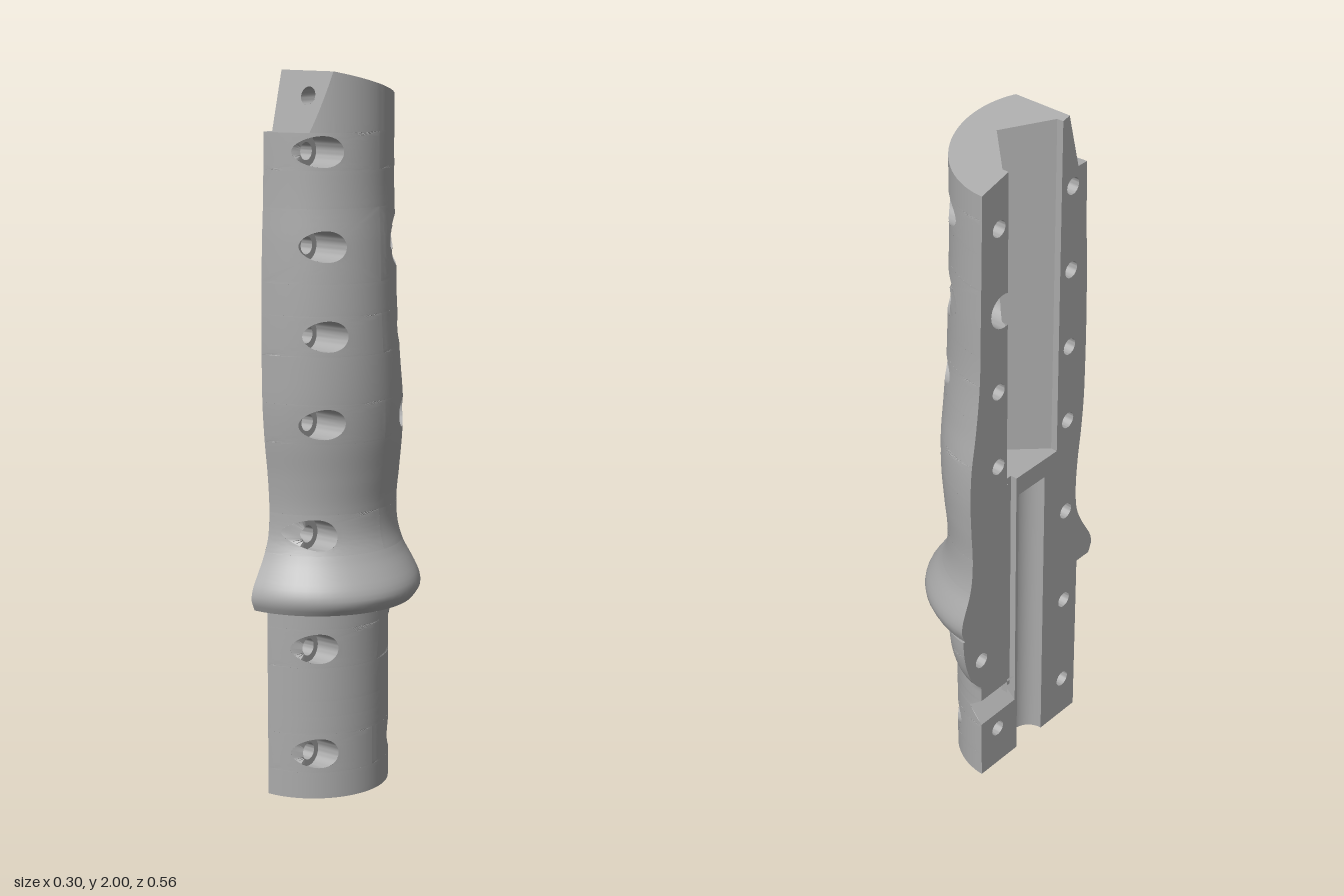
import * as THREE from 'three';
import { toCreasedNormals } from 'three/addons/utils/BufferGeometryUtils.js';

const CUT = -0.15, STEP_Y = 0.54, LEDGE_Y = 1.84, FLOOR_Y = 0.98, DEG = Math.PI;
const V = (x, y, z) => new THREE.Vector3(x, y, z);
const lerp = THREE.MathUtils.lerp;

// Grip profile above the flange: y, front z, back z, side x
const PROFILE = [
  [0.54, 0.268, -0.268, 0.125], [0.57, 0.28, -0.28, 0.147], [0.6, 0.275, -0.279, 0.143],
  [0.64, 0.253, -0.266, 0.118], [0.68, 0.23, -0.25, 0.09], [0.73, 0.21, -0.239, 0.068],
  [0.8, 0.203, -0.235, 0.06], [0.9, 0.208, -0.24, 0.07], [1.0, 0.22, -0.243, 0.083],
  [1.1, 0.228, -0.238, 0.09], [1.2, 0.23, -0.222, 0.092], [1.35, 0.23, -0.205, 0.09],
  [1.55, 0.225, -0.2, 0.085], [1.65, 0.22, -0.198, 0.08], [1.84, 0.215, -0.195, 0.08],
];
const spline = new THREE.CubicInterpolant(PROFILE.map(p => p[0]), PROFILE.flatMap(p => p.slice(1)), 3);

// Screw holes: y, z, bore radius, through radius, seat x
const screw = (y, z) => ({ y, z, R: 0.042, r: 0.024, seat: -0.05 });
const frontHoles = [0.13, 0.43, 0.75, 1.06, 1.3, 1.54, 1.79].map(y => screw(y, 0.16));
const backHoles = [screw(0.13, -0.13), screw(0.43, -0.2), screw(1.06, -0.13), screw(1.3, -0.13),
  { y: 1.54, z: -0.11, R: 0.07, r: 0.05, seat: 0 }, screw(1.79, -0.13)];
const button = backHoles[4];

// Cross-section at height y; a rounded boss widens the back of the shank
function section(y) {
  if (y <= STEP_Y) {
    const k = (STEP_Y - y) / 0.22, w = k < 1 ? Math.sqrt(1 - k * k) : 0;
    return { f: 0.215, b: -0.2, x: 0.055, w, zb: Math.min(-0.2, w ? -0.165 - 0.11 * w : 0) };
  }
  const [f, b, x] = spline.evaluate(Math.min(y, LEDGE_Y));
  return { f, b, x, w: 0, zb: b };
}
const arc = (d, r) => Math.sqrt(Math.max(0, 1 - (d / r) ** 2));
function surf(z, y) {
  const s = section(y);
  const body = (s.x - CUT) * arc(z - (s.f + s.b) / 2, (s.f - s.b) / 2);
  const boss = s.w ? 0.115 * s.w * arc(z + 0.165, 0.11 * s.w) : 0;
  return CUT + Math.max(body, boss);
}
const notch = y => 0.25 * Math.max(0, 1 - Math.abs(y - 0.235) / 0.045);
// Skin point: t runs from 0 at the back edge to PI at the front edge
function pt(t, y) {
  const s = section(y), n = notch(y), a = n + t * (1 - n / DEG);
  const z = (s.f + s.zb) / 2 - (s.f - s.zb) / 2 * Math.cos(a);
  return V(surf(z, y), y, z);
}
function tOf(z, y) {
  const s = section(y);
  return Math.acos(THREE.MathUtils.clamp(((s.f + s.zb) / 2 - z) / ((s.f - s.zb) / 2), -1, 1));
}
const topY = z => z <= 0.14 ? 2 - 0.27 * (0.14 - z) : z < 0.18 ? 2 - (z - 0.14) * 4 : LEDGE_Y;
const channelX = z => z < -0.095 || z > 0.115 ? CUT : -0.02 - Math.abs(z - 0.01) * 0.11 / 0.105;

// Surface through rows of points
function loft(rows) {
  const g = new THREE.BufferGeometry(), n = rows[0].length, idx = [];
  for (let i = 0; i + 1 < rows.length; i++)
    for (let j = 0; j + 1 < n; j++) {
      const a = i * n + j, b = a + n;
      idx.push(a, b, a + 1, b, b + 1, a + 1);
    }
  g.setFromPoints(rows.flat());
  g.setIndex(idx);
  return toCreasedNormals(g, 0.6);
}
// Planar panel, outlined in 2D and mapped into space
function panel(outline, map, holes = []) {
  const s = new THREE.Shape(outline.map(p => new THREE.Vector2(p[0], p[1])));
  for (const [x, y, r] of holes) s.holes.push(new THREE.Path().absarc(x, y, r, 0, 2 * DEG, true));
  const g = new THREE.ShapeGeometry(s, 16), p = g.attributes.position;
  for (let i = 0; i < p.count; i++) p.setXYZ(i, ...map(p.getX(i), p.getY(i)));
  g.computeVertexNormals();
  return g;
}
const range = (n, f) => Array.from({ length: n + 1 }, (_, i) => f(i / n));
const circle = (h, r, x) => range(40, k => {
  const z = h.z + r * Math.cos(k * 2 * DEG), y = h.y + r * Math.sin(k * 2 * DEG);
  return V(x(z, y), y, z);
});
const skinBand = (y0, y1, t0, t1) => loft(range(Math.max(1, Math.ceil((y1 - y0) / 0.015)),
  v => range(28, u => pt(lerp(t0, t1, u), lerp(y0, y1, v)))));
// Rectangular skin patch with a round opening
function holedPatch(h, y0, y1, t0, t1) {
  const tc = tOf(h.z, h.y), edge = [];
  const corners = [[t0, y0], [t1, y0], [t1, y1], [t0, y1], [t0, y0]];
  for (let i = 0; i < 4; i++)
    for (let k = 0; k < 16; k++)
      edge.push([0, 1].map(c => lerp(corners[i][c], corners[i + 1][c], k / 16)));
  edge.push(corners[0]);
  return loft(range(8, v => edge.map(([t, y]) => {
    const a = Math.atan2((y - h.y) / (y1 - y0), (t - tc) / (t1 - t0));
    const cy = h.y + h.R * Math.sin(a), ct = tOf(h.z + h.R * Math.cos(a), cy);
    return pt(lerp(t, ct, v), lerp(y, cy, v));
  })));
}

export function createModel() {
  const grey = new THREE.MeshStandardMaterial({ color: 0xaaaaaa, side: THREE.DoubleSide });
  grey.name = 'plain grey';
  const group = new THREE.Group();
  group.name = 'gripHalf';
  const add = (name, geo) => {
    const m = new THREE.Mesh(geo, grey);
    m.name = name;
    group.add(m);
  };

  // Outer skin: plain bands between rows of holes
  const bands = [[0, 0.075], [0.185, 0.19], [0.19, 0.235], [0.235, 0.28], [0.28, 0.375], [0.485, STEP_Y],
    [STEP_Y + 1e-5, 0.695], [0.805, 1.005], [1.115, 1.245], [1.355, 1.44], [1.64, 1.74]];
  for (const [a, b] of bands) add('outerSkin', skinBand(a, b, 0, DEG));
  for (const f of frontHoles) {
    const h = f.y === 1.54 ? 0.1 : f.y === 1.79 ? 0.05 : 0.055;
    const back = backHoles.find(o => o.y === f.y);
    add('frontHoleSkin', holedPatch(f, f.y - h, f.y + h, DEG / 2, DEG));
    add('backHoleSkin', back ? holedPatch(back, f.y - h, f.y + h, 0, DEG / 2)
      : skinBand(f.y - h, f.y + h, 0, DEG / 2));
  }

  // Stepped bores
  for (const h of [...frontHoles, ...backHoles]) {
    const seat = (z, y) => Math.min(h.seat, surf(z, y));
    add('screwBore', loft([circle(h, h.R, surf), circle(h, h.R, seat), circle(h, h.r, seat), circle(h, h.r, channelX)]));
  }

  // Underside of the flange
  add('flangeUnderside', loft([0, 1e-5].map(e => range(48, u => pt(u * DEG, STEP_Y + e)))));

  // Slanted top end
  const zs = [...range(48, u => pt(u * DEG, LEDGE_Y).z), 0.14, 0.18, -0.0951, -0.0949, 0.01, 0.1149, 0.1151]
    .sort((a, b) => a - b);
  add('topSkin', loft(range(6, v => zs.map(z => V(surf(z, LEDGE_Y), lerp(LEDGE_Y, topY(z), v), z)))));
  const cap = list => loft(list.map(z => [V(channelX(z), topY(z), z), V(surf(z, LEDGE_Y), topY(z), z)]));
  add('topFace', cap(zs.filter(z => z <= 0.14)));
  add('frontLedge', cap(zs.filter(z => z >= 0.18)));

  // Sloping front facet with its small bore
  const facetZ = y => 0.14 + (2 - y) / 4;
  add('frontFacet', panel([[CUT, LEDGE_Y], ...range(8, u => [surf(0.18 - 0.04 * u, LEDGE_Y), LEDGE_Y + 0.16 * u]),
    [CUT, 2]], (x, y) => [x, y, facetZ(y)], [[-0.045, 1.935, 0.024]]));
  const facetBore = depth => range(24, k => {
    const x = -0.045 + 0.024 * Math.cos(k * 2 * DEG), y = 1.935 + 0.024 * Math.sin(k * 2 * DEG);
    return V(x, y, depth ? 0.01 + (-0.02 - x) * 0.105 / 0.11 : facetZ(y));
  });
  add('facetBore', loft([facetBore(false), facetBore(true)]));

  // Flat parting face, in two pieces
  const onCut = (z, y) => [CUT, y, z];
  const a0 = Math.acos(0.015 / button.r);
  const bite = (from, to) => range(20, u => {
    const a = lerp(from, to, u);
    return [button.z + button.r * Math.cos(a), button.y + button.r * Math.sin(a)];
  });
  const ys = range(90, u => lerp(STEP_Y + 1e-5, LEDGE_Y, u));
  const asHole = h => [h.z, h.y, h.r];
  add('partingFace', panel([[0.215, 0], [0.215, STEP_Y], ...ys.map(y => [section(y).f, y]), [0.18, LEDGE_Y],
    [0.14, 2], [0.115, topY(0.115)], [0.115, FLOOR_Y], [-0.055, FLOOR_Y], [-0.055, 0.19], [-0.2, 0.19], [-0.2, 0],
    [-0.045, 0], [-0.045, 0.92], [0.065, 0.92], [0.065, 0]], onCut, [...frontHoles, backHoles[0]].map(asHole)));
  const lowYs = range(30, u => lerp(STEP_Y, 0.28, u));
  add('partingFaceBack', panel([[-0.09, 0.28], [-0.09, FLOOR_Y], [-0.095, FLOOR_Y], ...bite(-a0, a0 - 2 * DEG),
    [-0.095, topY(-0.095)], [-0.195, topY(-0.195)], ...ys.slice().reverse().map(y => [section(y).zb, y]),
    ...lowYs.map(y => [section(y).zb, y])], onCut, backHoles.filter(h => h.y > 0.2 && h !== button).map(asHole)));

  // Upper V-shaped channel
  const onV = (z, y) => [-0.02 - Math.abs(z - 0.01) * 0.11 / 0.105, y, z];
  add('channelBackWall', panel([[-0.095, FLOOR_Y], [0.01, FLOOR_Y], [0.01, topY(0.01)], [-0.095, topY(-0.095)],
    ...bite(a0, -a0)], onV));
  add('channelFrontWall', panel([[0.01, FLOOR_Y], [0.115, FLOOR_Y], [0.115, topY(0.115)], [0.01, topY(0.01)]], onV));
  const d = button.r * Math.sin(a0);
  for (const [z, lo, hi] of [[0.115, FLOOR_Y, topY(0.115)], [-0.095, FLOOR_Y, button.y - d],
    [-0.095, button.y + d, topY(-0.095)]])
    add('channelLip', loft([lo, hi].map(y => [V(CUT, y, z), V(-0.13, y, z)])));
  add('channelFloor', panel([[-0.095, CUT], [-0.095, -0.13], [0.01, -0.02], [0.115, -0.13], [0.115, CUT],
    [-0.055, CUT], [-0.055, -0.13], [-0.09, -0.13], [-0.09, CUT]], (z, x) => [x, FLOOR_Y, z]));

  // Lower round channel and bottom end
  const round = range(20, u => [0.01 + 0.055 * Math.cos(u * DEG), CUT + 0.055 * Math.sin(u * DEG)]);
  add('lowerChannel', loft([0, 0.92].map(y => round.map(([z, x]) => V(x, y, z)))));
  add('lowerChannelEnd', panel(round, (z, x) => [x, 0.92, z]));
  add('bottomFace', panel([...range(48, u => { const p = pt(u * DEG, 0); return [p.z, p.x]; }), ...round],
    (z, x) => [x, 0, z]));

  // Narrow wire slot leading to a V notch at the back
  add('wireSlot', loft([FLOOR_Y, 0.24].map(y =>
    [V(CUT, y, -0.09), V(-0.13, y, -0.09), V(-0.13, y, -0.055), V(CUT, y, -0.055)])));
  const notchEnd = [[CUT, 0.19], [-0.099, 0.235], [CUT, 0.28]];
  add('wireNotch', loft([[0.19, 0.235, 0.28].map(y => pt(0, y)), notchEnd.map(([x, y]) => V(x, y, -0.055))]));
  add('wireNotchEnd', panel(notchEnd, (x, y) => [x, y, -0.055]));
  return group;
}
